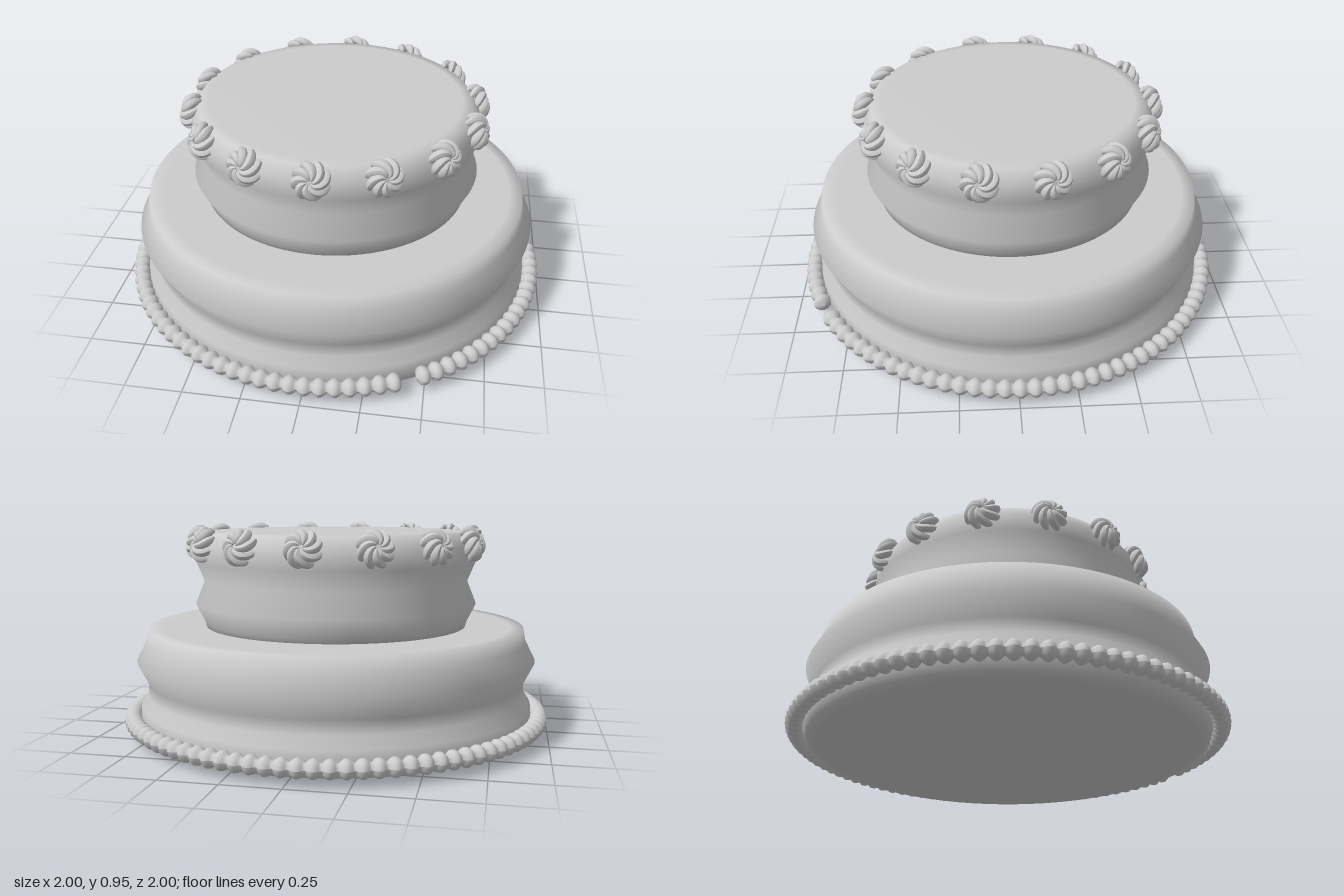
import * as THREE from 'three';
import { mergeGeometries } from 'three/addons/utils/BufferGeometryUtils.js';

const icing = new THREE.MeshStandardMaterial({ color: 0xcccccc });
icing.name = 'icing';

function addMesh(parent, name, geometry) {
  const mesh = new THREE.Mesh(geometry, icing);
  mesh.name = name;
  parent.add(mesh);
  return mesh;
}

// Turned tier from [radius, height] pairs, bottom to top
function tier(profile) {
  return new THREE.LatheGeometry(profile.map(([r, y]) => new THREE.Vector2(r, y)), 96);
}

// Rope of beads around the base, with a small gap where its ends meet
function beadRope(radius, beads) {
  const steps = beads * 6, sides = 12;
  const start = THREE.MathUtils.degToRad(65), arc = THREE.MathUtils.degToRad(356);
  const g = new THREE.TorusGeometry(radius, 1, sides, steps, arc);
  const p = g.attributes.position;
  for (let j = 0; j <= sides; j++) {
    const v = (j / sides) * Math.PI * 2;
    for (let i = 0; i <= steps; i++) {
      const u = i / steps, a = start + u * arc;
      const end = i === 0 || i === steps;
      const r = end ? 0.002 : 0.022 + 0.02 * Math.abs(Math.sin(Math.PI * beads * u));
      const d = radius + r * Math.cos(v);
      p.setXYZ(j * (steps + 1) + i, d * Math.cos(a), d * Math.sin(a), r * Math.sin(v));
    }
  }
  g.rotateX(Math.PI / 2);
  g.computeVertexNormals();
  return g;
}

// One piped lobe: a tapered tube spiralling outward and back
function lobe() {
  const points = [];
  for (let k = 0; k <= 6; k++) {
    const t = k / 6, a = t * 1.5;
    const d = 0.008 + 0.059 * Math.sin(t * Math.PI * 0.55);
    points.push(new THREE.Vector3(d * Math.cos(a), d * Math.sin(a), 0.045 - 0.07 * t * t));
  }
  const path = new THREE.CatmullRomCurve3(points);
  const steps = 12, sides = 8;
  const g = new THREE.TubeGeometry(path, steps, 0.02, sides, false);
  const p = g.attributes.position, v = new THREE.Vector3();
  for (let i = 0; i <= steps; i++) {
    const c = path.getPointAt(i / steps);
    const s = Math.sqrt(Math.max(0.002, Math.sin((Math.PI * i) / steps)));
    for (let j = 0; j <= sides; j++) {
      const n = i * (sides + 1) + j;
      v.fromBufferAttribute(p, n).sub(c).multiplyScalar(s).add(c);
      p.setXYZ(n, v.x, v.y, v.z);
    }
  }
  g.computeVertexNormals();
  return g;
}

function rosette() {
  const parts = [];
  for (let k = 0; k < 8; k++) parts.push(lobe().rotateZ((k * Math.PI) / 4));
  return mergeGeometries(parts);
}

export function createModel() {
  const cake = new THREE.Group();
  cake.name = 'tieredCake';

  addMesh(cake, 'lowerTier', tier([
    [0, 0], [0.86, 0], [0.905, 0.015], [0.925, 0.07], [0.92, 0.13], [0.887, 0.18],
    [0.887, 0.24], [0.935, 0.335], [0.89, 0.425], [0.88, 0.483], [0.82, 0.484], [0, 0.484],
  ]));

  addMesh(cake, 'upperTier', tier([
    [0, 0.47], [0.61, 0.47], [0.618, 0.505], [0.66, 0.59], [0.618, 0.695],
    [0.655, 0.785], [0.65, 0.865], [0.615, 0.922], [0.57, 0.925], [0, 0.925],
  ]));

  addMesh(cake, 'beadRope', beadRope(0.958, 96)).position.y = 0.07;

  // Rosettes around the upper rim, tilted slightly upward
  const rosettes = new THREE.Group();
  rosettes.name = 'rosettes';
  cake.add(rosettes);
  const flower = rosette(), count = 14;
  for (let k = 0; k < count; k++) {
    const a = (k / count) * Math.PI * 2;
    const m = addMesh(rosettes, 'rosette', flower);
    m.position.set(0.645 * Math.sin(a), 0.87, 0.645 * Math.cos(a));
    m.rotation.set(-0.3, a, 0, 'YXZ');
  }
  return cake;
}
